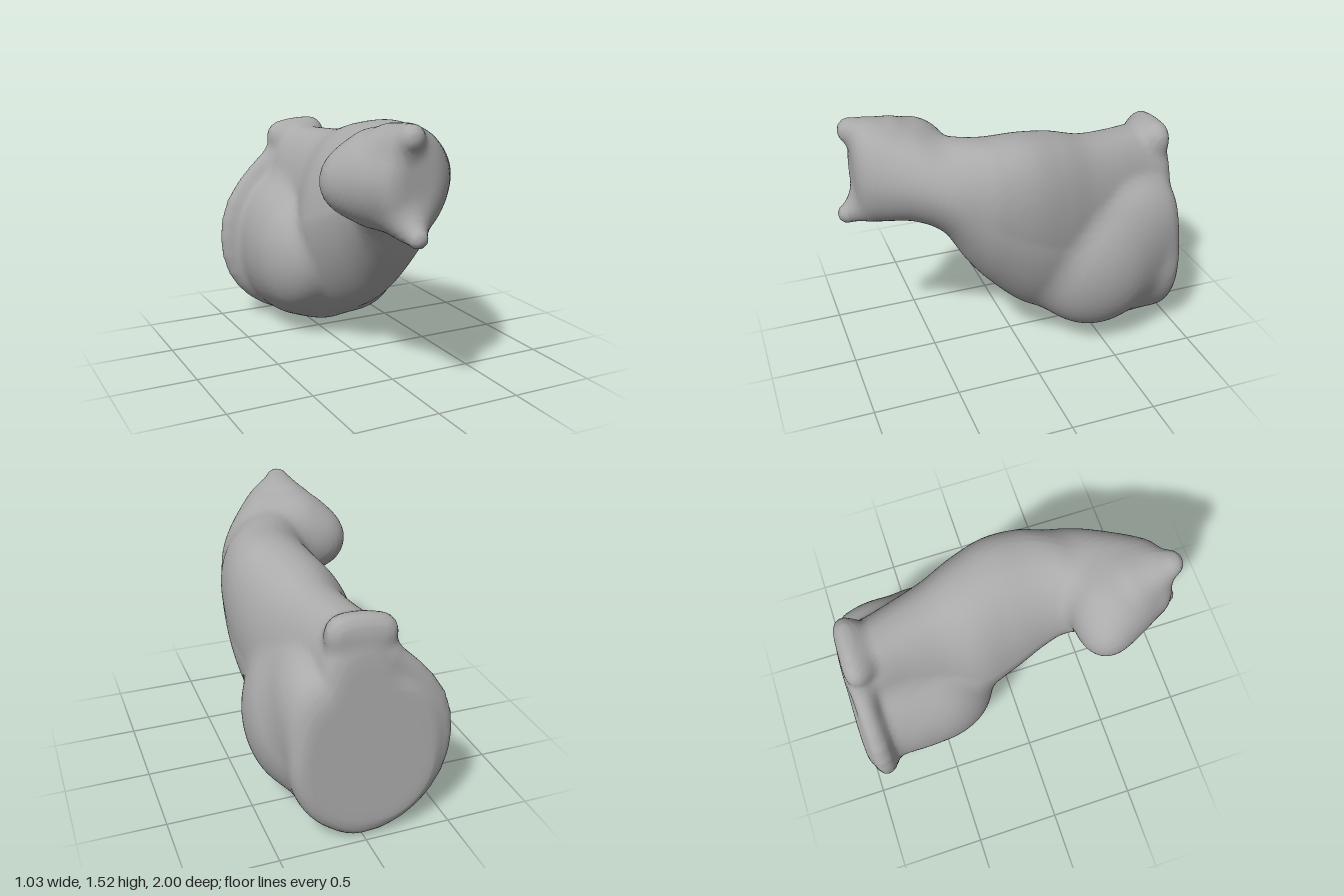
import * as THREE from 'three';

const grey = new THREE.MeshStandardMaterial({ color: 0xaaaaaa });
grey.name = 'stone grey';

// Smooth union and smooth intersection of two distances
const blend = (a, b, k) => {
  const h = Math.max(k - Math.abs(a - b), 0) / k;
  return Math.min(a, b) - h * h * k / 4;
};
const cut = (a, b, k) => -blend(-a, -b, k);

const ellipsoid = (x, y, z, [cx, cy, cz], [rx, ry, rz]) => {
  const a = (x - cx) / rx, b = (y - cy) / ry, c = (z - cz) / rz;
  const d = Math.hypot(a, b, c);
  return d * (d - 1) / Math.max(Math.hypot(a / rx, b / ry, c / rz), 1e-6);
};

// Rod whose radius runs from ra to rb
const rod = (x, y, z, a, b, ra, rb) => {
  const dx = b[0] - a[0], dy = b[1] - a[1], dz = b[2] - a[2];
  let t = ((x - a[0]) * dx + (y - a[1]) * dy + (z - a[2]) * dz) / (dx * dx + dy * dy + dz * dz);
  t = Math.min(1, Math.max(0, t));
  return Math.hypot(x - a[0] - t * dx, y - a[1] - t * dy, z - a[2] - t * dz) - ra - t * (rb - ra);
};

// Cubic interpolation of cross-sections [z, cx, cy, rx, ry, upper power, lower power, upper lean]
function sectionAt(rows, z) {
  const n = rows.length - 1;
  z = Math.min(rows[n][0], Math.max(rows[0][0], z));
  let i = 0;
  while (i < n - 1 && z > rows[i + 1][0]) i++;
  const p = rows[i], q = rows[i + 1], o = rows[Math.max(i - 1, 0)], r = rows[Math.min(i + 2, n)];
  const h = q[0] - p[0], t = (z - p[0]) / h;
  return p.map((v, c) => {
    const m0 = (q[c] - o[c]) / (q[0] - o[0]) * h, m1 = (r[c] - v) / (r[0] - p[0]) * h;
    return v + t * m0 + t * t * (3 * (q[c] - v) - 2 * m0 - m1) + t * t * t * (2 * (v - q[c]) + m0 + m1);
  });
}
const loft = (x, y, [, cx, cy, rx, ry, up, low, lean]) => {
  const dy = y - cy, p = dy > 0 ? up : low;
  const u = Math.abs(x - cx - lean * Math.max(dy, 0)) / rx, v = Math.abs(dy) / ry;
  return (Math.pow(Math.pow(u, p) + Math.pow(v, p), 1 / p) - 1) * Math.min(rx, ry);
};

// Front legs, chest, neck and head
const torsoRows = [
  [-1.10, 0.02, 0.66, 0.23, 0.63, 2.4, 2, 0],
  [-0.80, 0.03, 0.65, 0.25, 0.635, 2.4, 2, 0],
  [-0.60, 0.06, 0.66, 0.27, 0.63, 2.3, 2, 0.02],
  [-0.40, 0.08, 0.70, 0.30, 0.61, 2.2, 1.9, 0.06],
  [-0.20, 0.09, 0.775, 0.34, 0.595, 2.2, 1.85, 0.11],
  [0.00, 0.12, 0.855, 0.335, 0.555, 2.2, 1.8, 0.14],
  [0.20, 0.135, 0.955, 0.305, 0.455, 2.2, 1.8, 0.12],
  [0.32, 0.12, 1.03, 0.29, 0.38, 2.1, 1.85, 0.06],
  [0.45, 0.06, 1.13, 0.31, 0.28, 2, 1.9, 0],
  [0.60, -0.02, 1.185, 0.31, 0.27, 1.9, 1.9, 0],
  [0.80, -0.07, 1.20, 0.23, 0.29, 1.8, 1.8, 0],
  [0.95, -0.10, 1.20, 0.13, 0.25, 1.8, 1.8, 0],
];
// Seat behind the haunches
const seatRows = [
  [-1.10, -0.035, 0.52, 0.45, 0.505, 2.1, 2.1, 0],
  [-0.85, -0.01, 0.52, 0.42, 0.505, 2.1, 2.1, 0],
  [-0.60, 0.00, 0.515, 0.41, 0.48, 2.1, 2.1, 0],
  [-0.35, 0.02, 0.52, 0.31, 0.39, 2, 2, 0],
  [-0.10, 0.05, 0.60, 0.10, 0.15, 2, 2, 0],
];
// Tail curled round the seat
const tail = new THREE.CatmullRomCurve3([
  [-0.14, 1.07], [-0.26, 0.96], [-0.40, 0.77], [-0.448, 0.55], [-0.405, 0.33], [-0.29, 0.19], [-0.10, 0.09],
].map(([x, y]) => new THREE.Vector3(x, y, -0.91))).getPoints(12).map(p => p.toArray());

function catField(x, y, z, torso, seat) {
  let d = cut(loft(x, y, torso), z - 0.9, 0.08);
  // Cheeks, muzzle and ears
  d = blend(d, ellipsoid(x, y, z, [-0.13, 1.19, 0.57], [0.26, 0.27, 0.25]), 0.06);
  d = blend(d, ellipsoid(x, y, z, [-0.29, 1.17, 0.48], [0.135, 0.15, 0.125]), 0.1);
  d = blend(d, rod(x, y, z, [-0.12, 1.36, 0.71], [-0.13, 1.447, 0.885], 0.14, 0.068), 0.06);
  d = blend(d, rod(x, y, z, [-0.10, 1.055, 0.74], [-0.115, 0.945, 0.942], 0.14, 0.055), 0.06);
  // Seat, haunches and right-hand thigh
  if (z < 0.1) {
    const s = cut(loft(x, y, seat), z + 0.15, 0.1);
    d = blend(d, s, 0.06);
    d = blend(d, ellipsoid(x, y, z, [0.215, 0.54, -0.47], [0.3, 0.44, 0.41]), 0.06);
    d = blend(d, ellipsoid(x, y, z, [0.24, 0.72, -0.68], [0.2, 0.33, 0.37]), 0.05);
    d = blend(d, ellipsoid(x, y, z, [-0.15, 0.52, -0.53], [0.275, 0.39, 0.38]), 0.05);
  }
  if (z < -0.6) {
    // Front paws and tail
    d = blend(d, rod(x, y, z, [-0.09, 1.215, -0.895], [0.12, 1.235, -0.895], 0.085, 0.085), 0.07);
    let t = 1;
    for (let i = 1; i < tail.length; i++) t = Math.min(t, rod(x, y, z, tail[i - 1], tail[i], 0.07, 0.07));
    d = blend(d, t, 0.06);
  }
  // Flat, slightly tilted base
  return cut(d, -0.987 + 0.03 * (y - 0.5) + 0.035 * x - z, 0.1);
}

// Skin the field with one vertex per crossed cell
function skin(min, max, step) {
  const n = min.map((v, i) => Math.ceil((max[i] - v) / step) + 1);
  const stride = [1, n[0], n[0] * n[1]];
  const val = new Float32Array(n[0] * n[1] * n[2]);
  const cell = new Int32Array(val.length).fill(-1);
  const pos = [], index = [];
  for (let k = 0; k < n[2]; k++) {
    const z = min[2] + k * step, torso = sectionAt(torsoRows, z), seat = sectionAt(seatRows, z);
    for (let j = 0; j < n[1]; j++) for (let i = 0; i < n[0]; i++)
      val[i + j * stride[1] + k * stride[2]] = catField(min[0] + i * step, min[1] + j * step, z, torso, seat);
  }
  const each = (from, fn) => {
    for (let k = from; k < n[2] - 1; k++) for (let j = from; j < n[1] - 1; j++) for (let i = from; i < n[0] - 1; i++)
      fn([i, j, k], i + j * stride[1] + k * stride[2]);
  };
  each(0, (g, id) => {
    const sum = [0, 0, 0];
    let count = 0;
    for (let c = 0; c < 8; c++) for (let a = 0; a < 3; a++) {
      if (c >> a & 1) continue;
      const o = [c & 1, c >> 1 & 1, c >> 2 & 1];
      const p = id + o[0] + o[1] * stride[1] + o[2] * stride[2];
      const u = val[p], v = val[p + stride[a]];
      if ((u < 0) === (v < 0)) continue;
      o[a] = u / (u - v);
      for (let b = 0; b < 3; b++) sum[b] += o[b];
      count++;
    }
    if (!count) return;
    cell[id] = pos.length / 3;
    for (let b = 0; b < 3; b++) pos.push(min[b] + (g[b] + sum[b] / count) * step);
  });
  each(1, (g, id) => {
    for (let a = 0; a < 3; a++) {
      const inside = val[id] < 0;
      if (inside === (val[id + stride[a]] < 0)) continue;
      const s = stride[(a + 1) % 3], t = stride[(a + 2) % 3];
      const A = cell[id - s - t], B = cell[id - t], C = cell[id], D = cell[id - s];
      if (inside) index.push(A, B, C, A, C, D);
      else index.push(A, C, B, A, D, C);
    }
  });
  const geo = new THREE.BufferGeometry();
  geo.setAttribute('position', new THREE.Float32BufferAttribute(pos, 3));
  geo.setIndex(index);
  geo.computeVertexNormals();
  return geo;
}

export function createModel() {
  const group = new THREE.Group();
  group.name = 'sittingCat';
  const cat = new THREE.Mesh(skin([-0.64, -0.1, -1.1], [0.64, 1.62, 1.1], 0.02), grey);
  cat.name = 'catBody';
  group.add(cat);
  return group;
}
